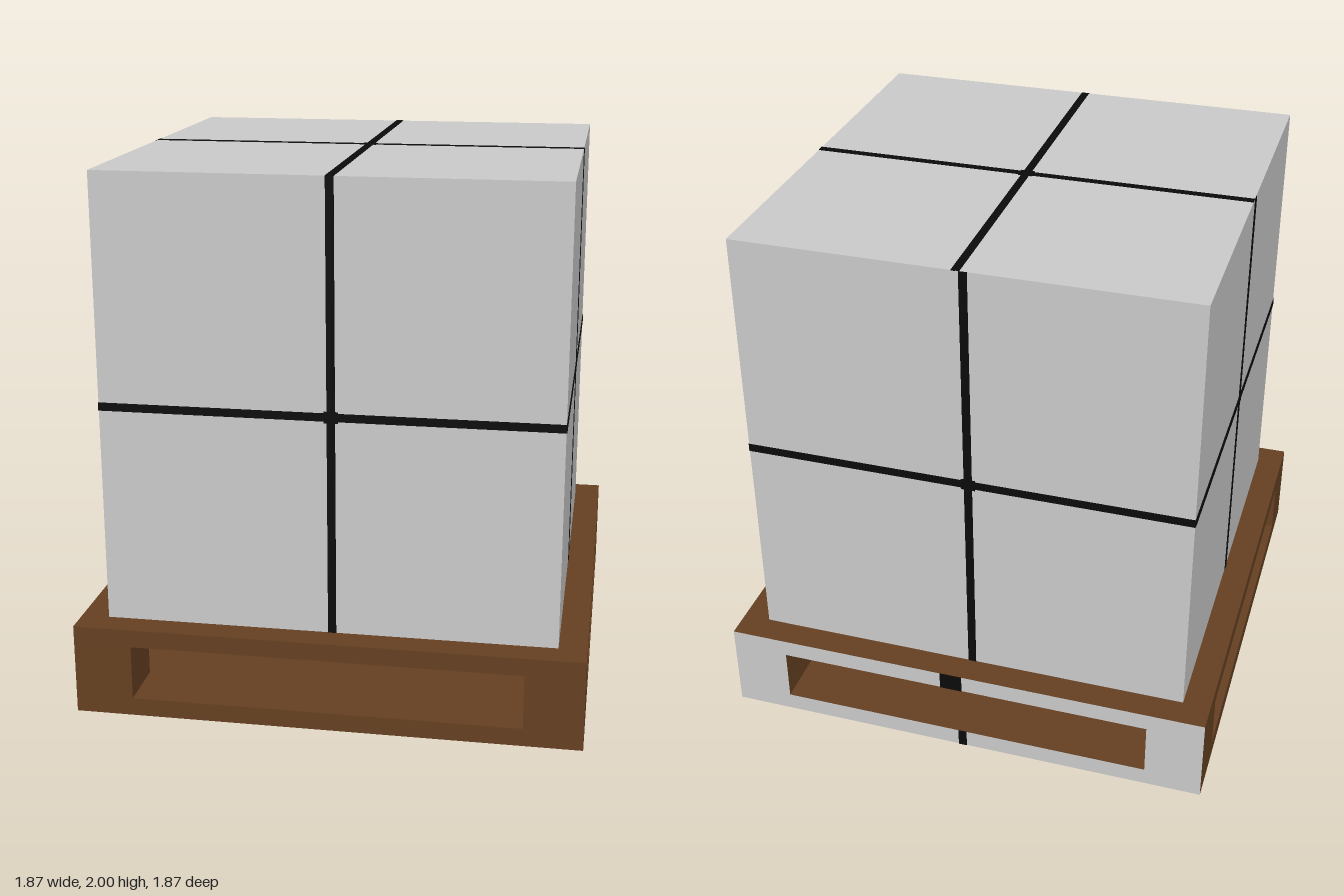
import * as THREE from 'three';

const wood = new THREE.MeshStandardMaterial({ color: 0x654021 });
wood.name = 'brown wood';
const grey = new THREE.MeshStandardMaterial({ color: 0xc9c9c9 });
grey.name = 'light grey';
const black = new THREE.MeshStandardMaterial({ color: 0x0a0a0a });
black.name = 'black strap';

const P = 0.933; // pallet half width
const H = 0.34; // pallet height
const C = 0.83; // crate half width
const MID = (H + 2) / 2; // crate centre height
const HOLE = 0.718; // half width of the fork openings
const Y0 = 0.068, Y1 = 0.273; // bottom and top of the openings

function box(parent, name, material, size, position) {
  const mesh = new THREE.Mesh(new THREE.BoxGeometry(...size), material);
  mesh.name = name;
  mesh.position.set(...position);
  parent.add(mesh);
  return mesh;
}

// Pallet: two decks joined by four corner posts
function makePallet() {
  const pallet = new THREE.Group();
  pallet.name = 'pallet';
  box(pallet, 'bottomDeck', wood, [2 * P, Y0, 2 * P], [0, Y0 / 2, 0]);
  box(pallet, 'topDeck', wood, [2 * P, H - Y1, 2 * P], [0, (H + Y1) / 2, 0]);
  const w = P - HOLE, c = (P + HOLE) / 2;
  for (const sx of [-1, 1]) {
    for (const sz of [-1, 1]) {
      box(pallet, 'cornerPost', wood, [w, Y1 - Y0, w], [sx * c, (Y0 + Y1) / 2, sz * c]);
    }
  }

  // Grey facing on the back, with the opening cut out
  const outline = new THREE.Shape();
  outline.moveTo(-P, 0).lineTo(P, 0).lineTo(P, H).lineTo(-P, H).closePath();
  const opening = new THREE.Path();
  opening.moveTo(-HOLE, Y0).lineTo(-HOLE, Y1).lineTo(HOLE, Y1).lineTo(HOLE, Y0).closePath();
  outline.holes.push(opening);
  const facing = new THREE.Mesh(new THREE.ShapeGeometry(outline), grey);
  facing.name = 'backFacing';
  facing.rotation.y = Math.PI;
  facing.position.z = -P - 0.002;
  pallet.add(facing);

  // Black marks on the back facing
  box(pallet, 'backUpperMark', black, [0.085, H - Y1, 0.003], [0.04, (H + Y1) / 2, -P - 0.003]);
  box(pallet, 'backLowerMark', black, [0.032, Y0, 0.003], [-0.002, Y0 / 2, -P - 0.003]);
  return pallet;
}

// Crossed straps with a knot, lying on one crate face that looks along +z
function makeStraps(name) {
  const straps = new THREE.Group();
  straps.name = name;
  const x = 0.013, y = -0.014, z = C + 0.001, t = 0.003, w = 0.03;
  box(straps, 'verticalStrap', black, [w, 2 * C, t], [x, 0, z]);
  box(straps, 'horizontalStrap', black, [2 * C, w, t], [0, y, z]);
  box(straps, 'knot', black, [0.052, 0.042, t], [x, y, z + 0.001]);
  straps.position.y = MID;
  return straps;
}

export function createModel() {
  const model = new THREE.Group();
  model.name = 'strappedCrateOnPallet';
  model.add(makePallet());
  box(model, 'crate', grey, [2 * C, 2 * C, 2 * C], [0, MID, 0]);

  // Straps on the four sides
  ['frontStraps', 'leftStraps', 'backStraps', 'rightStraps'].forEach((name, i) => {
    const straps = makeStraps(name);
    straps.rotation.y = i * Math.PI / 2;
    model.add(straps);
  });

  // Straps on the top
  const top = makeStraps('topStraps');
  top.rotation.x = -Math.PI / 2;
  for (const part of top.children) {
    part.position.z -= 0.001;
    if (part.name !== 'verticalStrap') part.position.y = 0.018;
  }
  model.add(top);
  return model;
}
